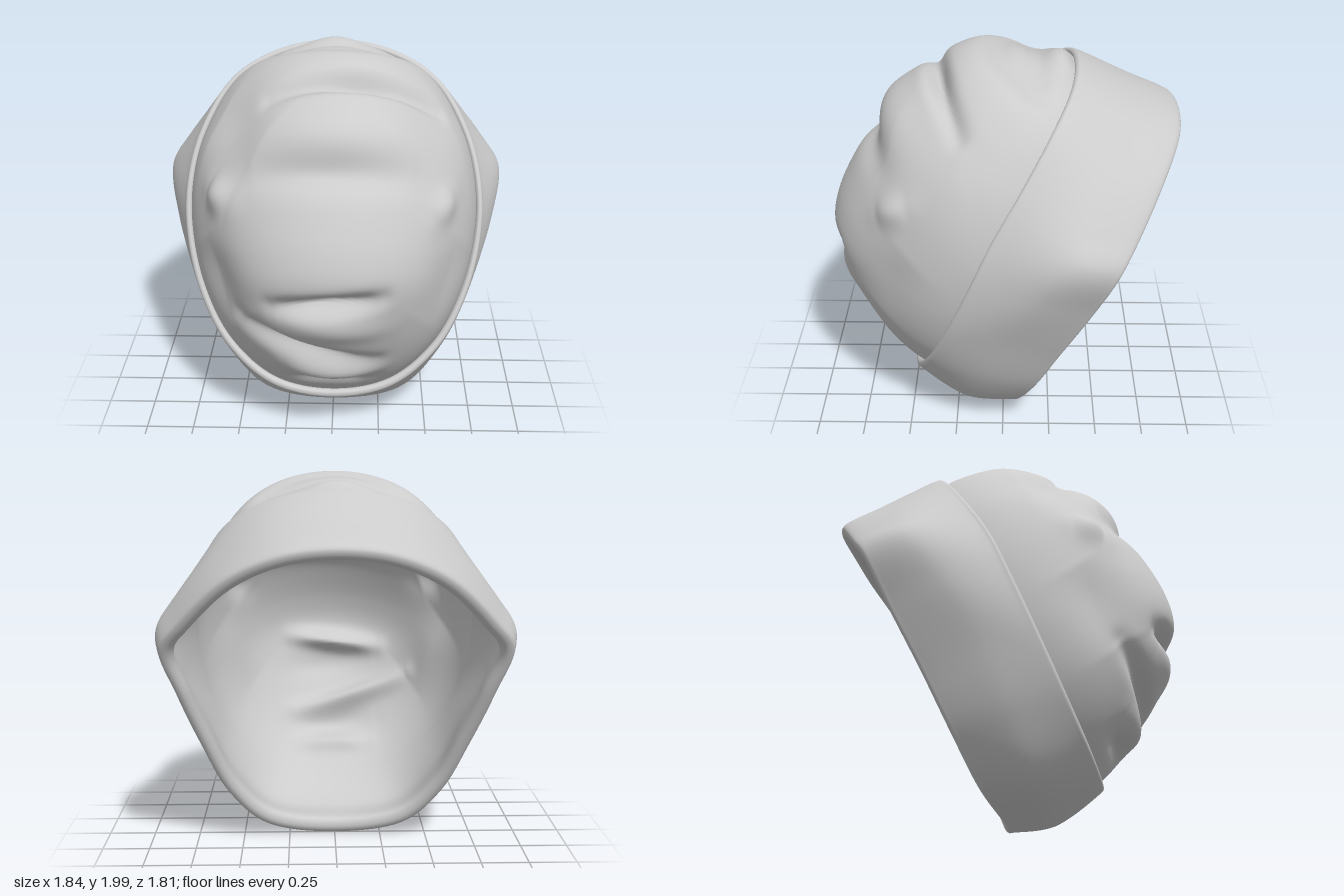
import * as THREE from 'three';

const V = (x, y, z) => new THREE.Vector3(x, y, z);

// Closed loop from the points of its left half, top to bottom, mirrored in x
function mirroredLoop(half) {
  const left = half.map(p => V(...p));
  const right = half.slice(1, -1).reverse().map(([x, y, z]) => V(-x, y, z));
  return new THREE.CatmullRomCurve3([...left, ...right], true, 'centripetal');
}

// Smooth surface over a grid of points; wrap joins the last column to the first
function gridSurface(rows, cols, pointAt, wrap) {
  const pos = [], idx = [], n = wrap ? cols : cols + 1;
  for (let i = 0; i <= rows; i++)
    for (let j = 0; j < n; j++) pos.push(...pointAt(i / rows, j / cols).toArray());
  for (let i = 0; i < rows; i++)
    for (let j = 0; j < cols; j++) {
      const a = i * n + j, b = i * n + (j + 1) % n, c = a + n, d = b + n;
      idx.push(a, c, b, b, c, d);
    }
  const g = new THREE.BufferGeometry();
  g.setAttribute('position', new THREE.Float32BufferAttribute(pos, 3));
  g.setIndex(idx);
  g.computeVertexNormals();
  return g;
}

// Seam where the cuff meets the crown, widest part of the cuff, and opening
const seam = mirroredLoop([
  [0, 1.92, -0.38], [0.3, 1.875, -0.35], [0.55, 1.745, -0.25], [0.715, 1.5, -0.095], [0.78, 1.26, 0.045],
  [0.782, 1.02, 0.15], [0.71, 0.72, 0.275], [0.56, 0.45, 0.385], [0.32, 0.26, 0.465], [0, 0.2, 0.49]]);
const middle = mirroredLoop([
  [0, 1.79, -0.66], [0.34, 1.74, -0.62], [0.62, 1.58, -0.5], [0.83, 1.36, -0.38], [0.915, 1.22, -0.32],
  [0.87, 0.98, -0.15], [0.765, 0.7, 0], [0.61, 0.35, 0.12], [0.38, 0.1, 0.2], [0, 0.04, 0.22]]);
const opening = mirroredLoop([
  [0, 1.69, -0.882], [0.28, 1.655, -0.86], [0.55, 1.53, -0.765], [0.79, 1.3, -0.62], [0.89, 1.16, -0.53],
  [0.82, 0.9, -0.41], [0.715, 0.6, -0.265], [0.58, 0.29, -0.125], [0.38, 0.08, -0.03], [0, 0.005, 0.03]]);

const seamCentre = V(0, 1.06, 0.055), middleCentre = V(0, 0.92, -0.22), openingCentre = V(0, 0.85, -0.42);
const back = V(0, -0.48, -0.88);
const inset = (point, centre, scale, push) =>
  point.clone().sub(centre).multiplyScalar(scale).add(centre).addScaledVector(back, push);
const innerSeam = point => inset(point, seamCentre, 0.957, 0.025);

// Folded cuff: rounded front lip, outer face, rounded rim and inner face
function cuffGeometry() {
  const section = u => {
    const s = seam.getPoint(u), m = middle.getPoint(u), o = opening.getPoint(u);
    return new THREE.CatmullRomCurve3([
      innerSeam(s),
      inset(s, seamCentre, 0.961, 0.0),
      inset(s, seamCentre, 0.978, -0.012),
      inset(s, seamCentre, 0.998, -0.003),
      inset(s, seamCentre, 1.005, 0.02),
      m,
      o,
      inset(o, openingCentre, 0.985, 0.028),
      inset(o, openingCentre, 0.945, 0.032),
      inset(o, openingCentre, 0.912, 0),
      inset(m, middleCentre, 0.935, 0),
      innerSeam(s)], false, 'centripetal');
  };
  const cols = 144, sections = Array.from({ length: cols }, (_, j) => section(j / cols));
  return gridSurface(99, cols, (s, u) => sections[Math.round(u * cols)].getPoint(s), true);
}

// Fabric folds as seen from the crown's core: from, to, width, height (negative presses inwards)
const core = V(0, 1.05, 0);
const toward = p => V(...p).sub(core).normalize();
const folds = [
  // creases down the front
  [[-0.28, 0.91, 0.82], [0.24, 0.97, 0.84], 0.06, -0.095],
  [[-0.45, 0.77, 0.66], [0.22, 0.52, 0.71], 0.07, -0.085],
  [[-0.22, 0.36, 0.58], [0.2, 0.35, 0.58], 0.06, -0.04],
  // ridges between them
  [[-0.25, 0.81, 0.85], [0.3, 0.77, 0.83], 0.09, 0.025],
  [[-0.25, 0.48, 0.68], [0.25, 0.45, 0.67], 0.07, 0.03],
  // creases and dips over the top
  [[-0.32, 1.86, 0.37], [0.52, 1.7, 0.21], 0.06, -0.09],
  [[-0.42, 1.92, -0.16], [0.36, 1.92, -0.17], 0.09, -0.06],
  [[-0.4, 1.51, 0.62], [0.4, 1.51, 0.62], 0.11, -0.06],
  // pinched corners at the sides, with flatter cloth above and below them
  [[0.6, 1.37, 0.47], [0.5, 1.28, 0.62], 0.09, 0.035],
  [[-0.62, 1.38, 0.45], [-0.5, 1.34, 0.58], 0.1, 0.045],
  [[-0.6, 1.65, 0.2], [-0.35, 1.65, 0.55], 0.25, -0.055],
  [[0.6, 1.65, 0.2], [0.35, 1.65, 0.55], 0.25, -0.025],
  [[-0.65, 1.1, 0.45], [-0.45, 0.75, 0.65], 0.26, -0.055],
  [[0.65, 1.1, 0.45], [0.45, 0.75, 0.65], 0.26, -0.03],
].map(([a, b, width, height]) => ({ line: new THREE.Line3(toward(a), toward(b)), width, height }));

const near = new THREE.Vector3();
function foldHeight(dir) {
  let h = 0;
  for (const { line, width, height } of folds) {
    const t = line.closestPointToPointParameter(dir, true);
    const distance = line.at(t, near).normalize().distanceTo(dir);
    h += height * (0.25 + 0.75 * Math.sin(Math.PI * t)) * Math.exp(-((distance / width) ** 2));
  }
  return h;
}

// Crown: elliptical arcs from seam to seam over the middle profile, then folded
function crownGeometry() {
  const profile = new THREE.CatmullRomCurve3([
    innerSeam(seam.getPoint(0)), V(0, 1.965, -0.29), V(0, 1.985, -0.15), V(0, 1.965, 0.02), V(0, 1.995, 0.15),
    V(0, 1.93, 0.32), V(0, 1.84, 0.46), V(0, 1.73, 0.61), V(0, 1.48, 0.74), V(0, 1.2, 0.88), V(0, 1.04, 0.91),
    V(0, 0.8, 0.85), V(0, 0.6, 0.76), V(0, 0.42, 0.645), innerSeam(seam.getPoint(0.5))], false, 'centripetal');
  return gridSurface(150, 130, (s, t) => {
    const side = innerSeam(seam.getPointAt(s / 2));
    const angle = (t - 0.5) * Math.PI;
    const p = side.clone().lerp(profile.getPointAt(s), Math.cos(angle));
    p.x = side.x * Math.sin(angle);
    const out = p.clone().sub(core).normalize();
    const fade = Math.min(1, Math.cos(angle) * 2, 14 * s, 14 * (1 - s));
    return p.addScaledVector(out, foldHeight(out) * fade);
  }, false);
}

export function createModel() {
  const hat = new THREE.Group();
  hat.name = 'knitHat';
  const material = new THREE.MeshStandardMaterial({ color: 0xcccccc, side: THREE.DoubleSide });
  const add = (name, geometry) => {
    const mesh = new THREE.Mesh(geometry, material);
    mesh.name = name;
    hat.add(mesh);
  };
  add('cuff', cuffGeometry());
  add('crown', crownGeometry());
  return hat;
}
